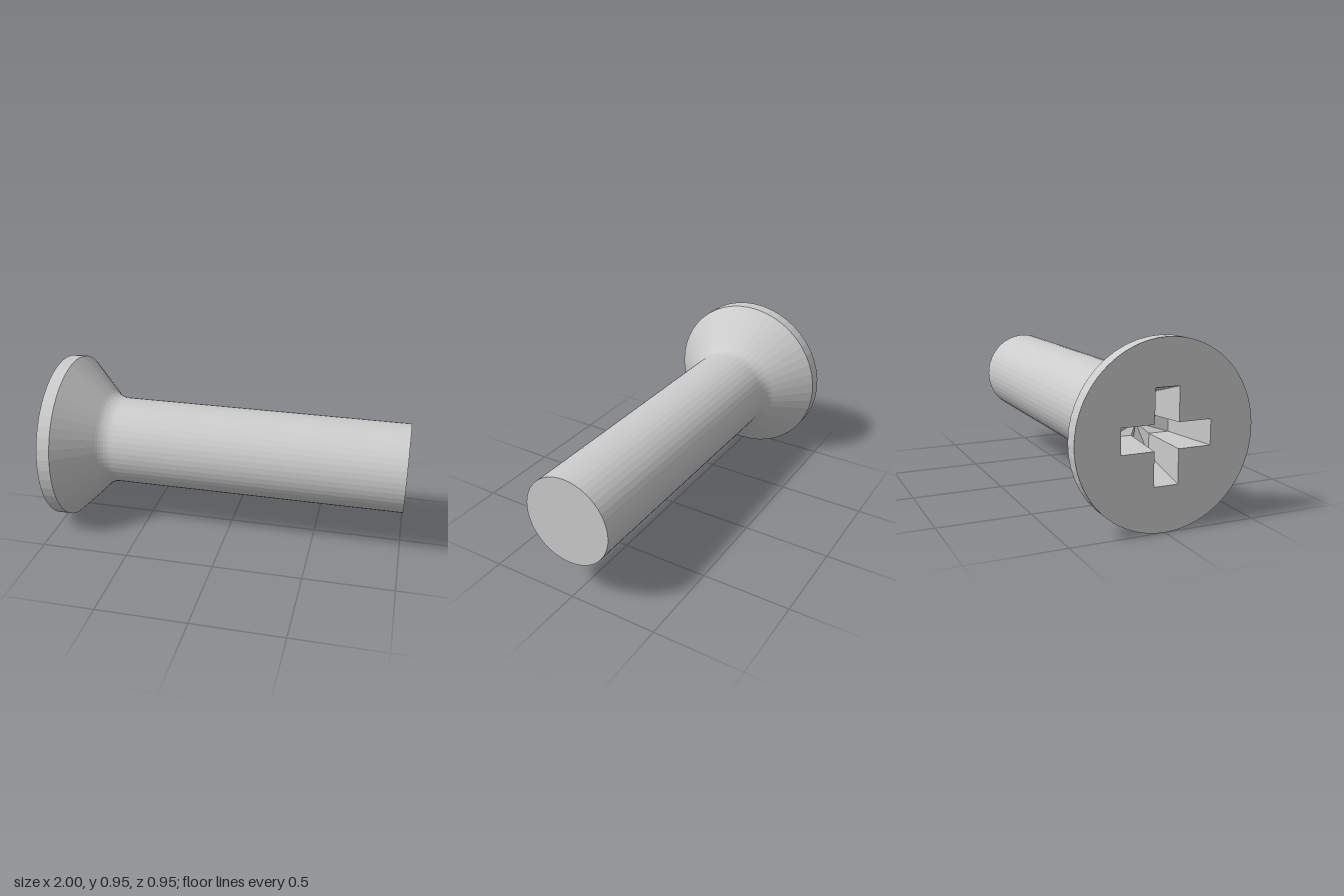
import * as THREE from 'three';

const SIDES = 48, HEAD_R = 0.475, SHANK_R = 0.25;

// Twelve corners of a plus shape, counter-clockwise, at depth z
function crossLoop(reach, half, z) {
  const points = [];
  for (let i = 0; i < 4; i++) {
    const c = Math.round(Math.cos(i * Math.PI / 2)), s = Math.round(Math.sin(i * Math.PI / 2));
    for (const [x, y] of [[reach, -half], [reach, half], [half, half]]) {
      points.push(new THREE.Vector3(x * c - y * s, x * s + y * c, z));
    }
  }
  return points;
}

export function createModel() {
  const group = new THREE.Group();
  const material = new THREE.MeshStandardMaterial({ color: 0xcccccc, flatShading: true });

  function add(name, geometry) {
    const mesh = new THREE.Mesh(geometry, material);
    mesh.name = name;
    group.add(mesh);
  }

  // Turned part along the x axis, from [radius, x] pairs
  function turned(name, profile) {
    const points = profile.map(([r, x]) => new THREE.Vector2(r, x));
    add(name, new THREE.LatheGeometry(points, SIDES).rotateZ(-Math.PI / 2));
  }

  // Countersunk head with a fillet under it
  turned('headRim', [[HEAD_R, -1], [HEAD_R, -0.925]]);
  const fillet = [];
  const filletR = 0.12, filletX = -0.65;
  for (let i = 0; i <= 6; i++) {
    const a = (1 - i / 6) * Math.PI / 4;
    fillet.push([SHANK_R + filletR * (1 - Math.cos(a)), filletX - filletR * Math.sin(a)]);
  }
  turned('headCone', [[HEAD_R, -0.925], ...fillet]);

  // Plain shank with a flat end
  turned('shank', [[SHANK_R, filletX], [SHANK_R, 1]]);
  add('shankEnd', new THREE.CircleGeometry(SHANK_R, SIDES).rotateY(Math.PI / 2).translate(1, 0, 0));

  // Flat head face with a cross-shaped opening
  const loops = [crossLoop(0.24, 0.065, 0), crossLoop(0.16, 0.05, -0.27)];
  const face = new THREE.Shape().absarc(0, 0, HEAD_R, 0, Math.PI * 2);
  face.holes.push(new THREE.Path(loops[0].map(p => new THREE.Vector2(p.x, p.y))));
  add('headFace', new THREE.ShapeGeometry(face, SIDES).rotateY(-Math.PI / 2).translate(-1, 0, 0));

  // Tapered walls and shallow pointed floor of the drive recess
  const tip = new THREE.Vector3(0, 0, -0.32);
  const corners = [];
  const [top, low] = loops;
  for (let i = 0; i < top.length; i++) {
    const j = (i + 1) % top.length;
    corners.push(top[i], low[j], low[i], top[i], top[j], low[j], tip, low[i], low[j]);
  }
  const recess = new THREE.BufferGeometry().setFromPoints(corners);
  recess.computeVertexNormals();
  add('driveRecess', recess.rotateY(-Math.PI / 2).translate(-1, 0, 0));

  for (const mesh of group.children) mesh.position.y = HEAD_R;
  return group;
}
